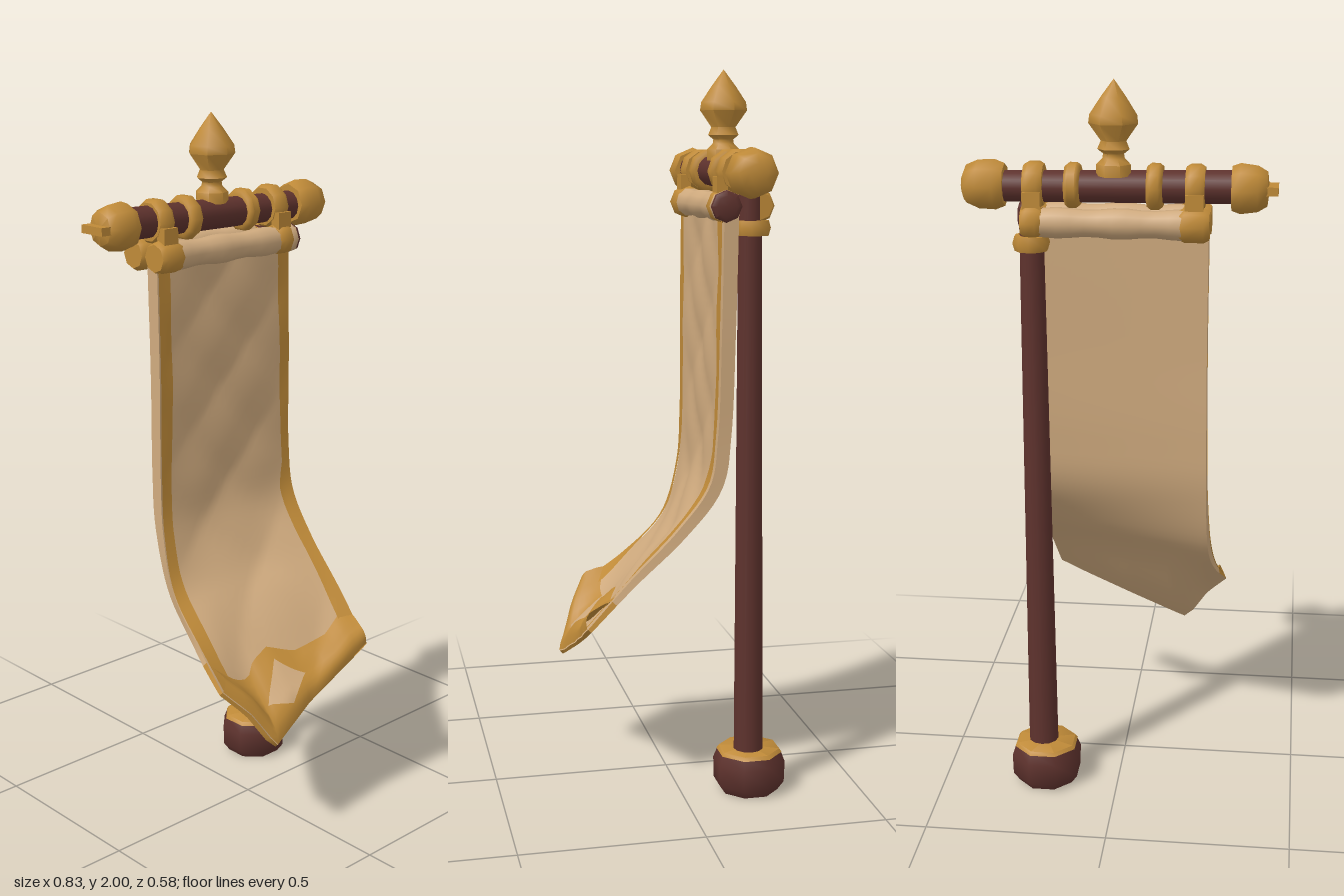
import * as THREE from 'three';
import { toCreasedNormals } from 'three/addons/utils/BufferGeometryUtils.js';

const V = (x, y, z) => new THREE.Vector3(x, y, z);

// Piecewise-linear lookup in [position, value] pairs
function lookup(table, u) {
  for (let i = 1; i < table.length; i++) {
    const [a, p] = table[i - 1], [b, q] = table[i];
    if (u <= b) return p + (q - p) * Math.max(0, (u - a) / (b - a));
  }
  return table[table.length - 1][1];
}

// Grid surface from a rule fn(s, t); s runs to +x and t runs down when it faces +z
function surface(fn, nu, nv) {
  const pos = [], idx = [];
  for (let j = 0; j <= nv; j++) for (let i = 0; i <= nu; i++) pos.push(...fn(i / nu, j / nv).toArray());
  for (let j = 0; j < nv; j++) for (let i = 0; i < nu; i++) {
    const a = j * (nu + 1) + i, c = a + nu + 1;
    idx.push(a, c, a + 1, a + 1, c, c + 1);
  }
  const g = new THREE.BufferGeometry();
  g.setAttribute('position', new THREE.Float32BufferAttribute(pos, 3));
  g.setIndex(idx);
  g.computeVertexNormals();
  return g;
}

// The cloth: two side edges, joined across, with a ragged lower hem
const leftEdge = new THREE.CatmullRomCurve3([
  V(-0.235, 1.64, -0.103), V(-0.235, 1.3, -0.1), V(-0.238, 1.02, -0.1), V(-0.241, 0.86, -0.09),
  V(-0.248, 0.7, -0.042), V(-0.26, 0.58, 0.075), V(-0.283, 0.49, 0.2)]);
const rightEdge = new THREE.CatmullRomCurve3([
  V(0.25, 1.64, -0.103), V(0.25, 1.3, -0.098), V(0.245, 1.02, -0.09), V(0.245, 0.89, -0.07),
  V(0.238, 0.77, 0.015), V(0.23, 0.63, 0.15), V(0.222, 0.5, 0.265)]);
const hemDrop = [[0, 0], [0.12, -0.07], [0.24, -0.175], [0.55, -0.1], [0.85, -0.035], [1, 0]];
const hemPush = [[0, 0], [0.24, 0.072], [0.55, 0.03], [1, 0]];

function clothBase(u, v) {
  const p = leftEdge.getPointAt(v).lerp(rightEdge.getPointAt(v), u);
  const w = THREE.MathUtils.smoothstep(v, 0.78, 1);
  p.y += w * lookup(hemDrop, u);
  p.z += w * lookup(hemPush, u);
  return p;
}

// Point on the cloth, shifted along its normal
function cloth(u, v, off) {
  const e = 0.02, u0 = Math.max(0, u - e), u1 = Math.min(1, u + e);
  const v0 = Math.max(0, v - e), v1 = Math.min(1, v + e);
  const du = clothBase(u1, v).sub(clothBase(u0, v));
  const dv = clothBase(u, v1).sub(clothBase(u, v0));
  const n = dv.cross(du).normalize();
  return clothBase(u, v).addScaledVector(n, off);
}
// Sharp irregular folds, fading out at the sides
const wrinkle = (u, v) => 0.009 * Math.sin(u * Math.PI) *
  (Math.abs(Math.sin(5 * u + 13 * v)) + Math.abs(Math.sin(17 * v - 7 * u + 1)) - 1.4);
const front = (u, v, lift = 0) => cloth(u, v, wrinkle(u, v) + lift);
const back = (u, v) => cloth(u, v, -lookup([[0, 0.04], [0.55, 0.036], [0.75, 0.026], [1, 0.012]], v));

// Puffed hem band: t runs from its upper line down to the cloth's end
const hemTop = [[0, 0.93], [0.12, 0.925], [0.3, 0.885], [0.42, 0.88], [0.58, 0.91], [0.8, 0.92], [0.92, 0.905], [1, 0.92]];
const hemLift = [[0, 0.003], [0.25, 0.015], [0.65, 0.028], [0.85, 0.022], [1, 0.003]];
const hem = (s, t, extra) => front(s, THREE.MathUtils.lerp(lookup(hemTop, s), 1, t), lookup(hemLift, t) + extra);

export function createModel() {
  const group = new THREE.Group();
  const make = (name, color, side = THREE.FrontSide) => {
    const m = new THREE.MeshStandardMaterial({ color, side });
    m.name = name;
    return m;
  };
  const wood = make('dark red wood', 0x5e322d);
  const gold = make('gold', 0xbf8a38, THREE.DoubleSide);
  const linen = make('linen', 0xcfaa7e, THREE.DoubleSide);

  const add = (name, geo, mat, x = 0, y = 0, z = 0) => {
    const m = new THREE.Mesh(geo, mat);
    m.name = name;
    m.position.set(x, y, z);
    group.add(m);
    return m;
  };
  const lathe = (pts, sides, crease = 0.95) => toCreasedNormals(
    new THREE.LatheGeometry(pts.map(([r, h]) => new THREE.Vector2(r, h)), sides), crease);
  // Turned part lying along +x
  const turned = (name, pts, sides, mat, x, y, z) => {
    const m = add(name, lathe(pts, sides), mat, x, y, z);
    m.rotation.z = -Math.PI / 2;
    return m;
  };
  const ring = (name, x, y, z, r, w) => turned(name,
    [[r - 0.025, -w * 0.5], [r - 0.008, -w * 0.5], [r, -w * 0.25], [r, w * 0.25], [r - 0.008, w * 0.5], [r - 0.025, w * 0.5]],
    10, gold, x, y, z);

  // Foot, with a gold rim on top
  const foot = add('foot', lathe([[0, 0], [0.082, 0], [0.1, 0.025], [0.102, 0.085], [0.09, 0.115], [0, 0.115]], 8), wood, 0.208, 0, -0.195);
  foot.rotation.y = Math.PI / 8;
  const rim = add('footRim', lathe([[0.093, 0.112], [0.086, 0.122], [0, 0.126]], 8), gold, 0.208, 0, -0.195);
  rim.rotation.y = Math.PI / 8;

  // Slightly leaning, tapered pole
  const pole = add('pole', new THREE.CylinderGeometry(0.032, 0.042, 1.56, 12), wood, 0.222, 0.89, -0.184);
  pole.rotation.z = -0.007;
  pole.rotation.x = 0.008;
  add('poleCollar', lathe([[0.03, -0.02], [0.044, -0.02], [0.05, 0], [0.044, 0.02], [0.03, 0.02]], 10), gold, 0.227, 1.58, -0.186);

  // Crossbar with knobs at both ends; the right one ends in a flat tip
  const barY = 1.725, barZ = -0.15;
  const bar = add('crossbar', new THREE.CylinderGeometry(0.041, 0.044, 0.64, 12), wood, 0, barY, barZ);
  bar.rotation.z = -Math.PI / 2 - 0.012;
  turned('rightKnob', [[0, -0.39], [0.045, -0.385], [0.06, -0.36], [0.066, -0.315], [0.058, -0.293], [0, -0.293]],
    8, gold, 0, barY, barZ);
  add('rightKnobTip', new THREE.BoxGeometry(0.04, 0.022, 0.085), gold, -0.393, barY, barZ);
  turned('leftKnob', [[0, 0.3], [0.056, 0.3], [0.066, 0.325], [0.064, 0.37], [0.05, 0.402], [0.025, 0.412], [0, 0.413]],
    8, gold, 0, barY, barZ);

  // Rings around the crossbar; the outer pair is larger
  for (const [x, r, w] of [[-0.2, 0.061, 0.05], [-0.095, 0.061, 0.042], [0.12, 0.06, 0.04], [0.222, 0.062, 0.052]])
    ring('barRing', x, barY + 0.002, barZ, r, w);

  // Straps joining the outer rings to the cloth rolls
  for (const x of [-0.2, 0.222])
    for (const z of [-0.098, -0.2])
      add('strap', new THREE.BoxGeometry(0.048, 0.08, 0.03), gold, x, 1.675, z);

  // Spearhead finial
  add('finial', lathe([[0, 1.755], [0.046, 1.755], [0.046, 1.785], [0.03, 1.8], [0.028, 1.812], [0.043, 1.824], [0.034, 1.845],
    [0.066, 1.89], [0.063, 1.912], [0.034, 1.955], [0, 2]], 7, 1.0), gold, 0.012, 0, -0.159);

  // Front and back cloth rolls with end caps
  const rollProfile = [];
  for (let i = 0; i <= 12; i++) {
    const t = i / 12;
    rollProfile.push([0.038 + 0.003 * Math.sin(t * 17), -0.21 + 0.44 * t]);
  }
  const cap = (x0, x1, r) => [[0, x0], [r - 0.008, x0], [r, x0 + 0.015], [r, x1 - 0.015], [r - 0.008, x1], [0, x1]];
  for (const [name, z] of [['front', -0.108], ['back', -0.197]]) {
    turned(name + 'Roll', rollProfile, 10, linen, 0, 1.636, z);
    turned(name + 'RollRightCap', cap(-0.24, -0.16, 0.046), 8, gold, 0, 1.636, z);
    turned(name + 'RollLeftCap', cap(0.195, 0.25, 0.046), 8, gold, 0, 1.638, z);
  }
  // Loose linen end of the front roll, with the wooden core showing
  turned('rollEnd', [[0.042, 0.24], [0.043, 0.258], [0, 0.258]], 8, linen, 0, 1.638, -0.106);
  turned('rollCore', [[0.043, 0.257], [0.041, 0.266], [0.028, 0.272], [0, 0.272]], 8, wood, 0, 1.638, -0.106);

  // Hanging cloth: front, back and the edges between them
  add('clothFront', surface((s, t) => front(s, t), 24, 48), linen);
  add('clothBack', surface((s, t) => back(1 - s, t), 24, 48), linen);
  const between = (u, v, k) => front(u, v).lerp(back(u, v), k);
  const split = 0.92;
  for (const [part, mat, v0, v1, n] of [['Side', linen, 0, split, 44], ['HemSide', gold, split, 1, 4]]) {
    const at = t => THREE.MathUtils.lerp(v0, v1, t);
    add('clothRight' + part, surface((s, t) => between(0, at(t), 1 - s), 1, n), mat);
    add('clothLeft' + part, surface((s, t) => between(1, at(t), s), 1, n), mat);
  }
  add('clothHem', surface((s, t) => between(s, 1, t), 24, 1), gold);

  // Gold side borders, raised slightly off the cloth
  const lift = 0.006;
  const rightWidth = [[0, 0.08], [0.3, 0.085], [0.6, 0.065], [0.85, 0.08], [1, 0.1]];
  const leftWidth = [[0, 0.09], [0.3, 0.075], [0.52, 0.06], [0.58, 0.1], [0.75, 0.08], [1, 0.1]];
  add('rightBorder', surface((s, t) => front(s * lookup(rightWidth, t), t, lift), 3, 48), gold);
  add('leftBorder', surface((s, t) => front(1 - (1 - s) * lookup(leftWidth, t), t, lift), 3, 48), gold);

  // Gold hem band with a linen diamond
  add('hemBorder', surface((s, t) => hem(s, t, 0), 24, 8), gold);
  add('hemDiamond', surface((s, t) => hem(0.42 + 0.15 * (s + t - 1), 0.46 + 0.3 * (t - s), 0.005), 6, 6), linen);

  return group;
}
